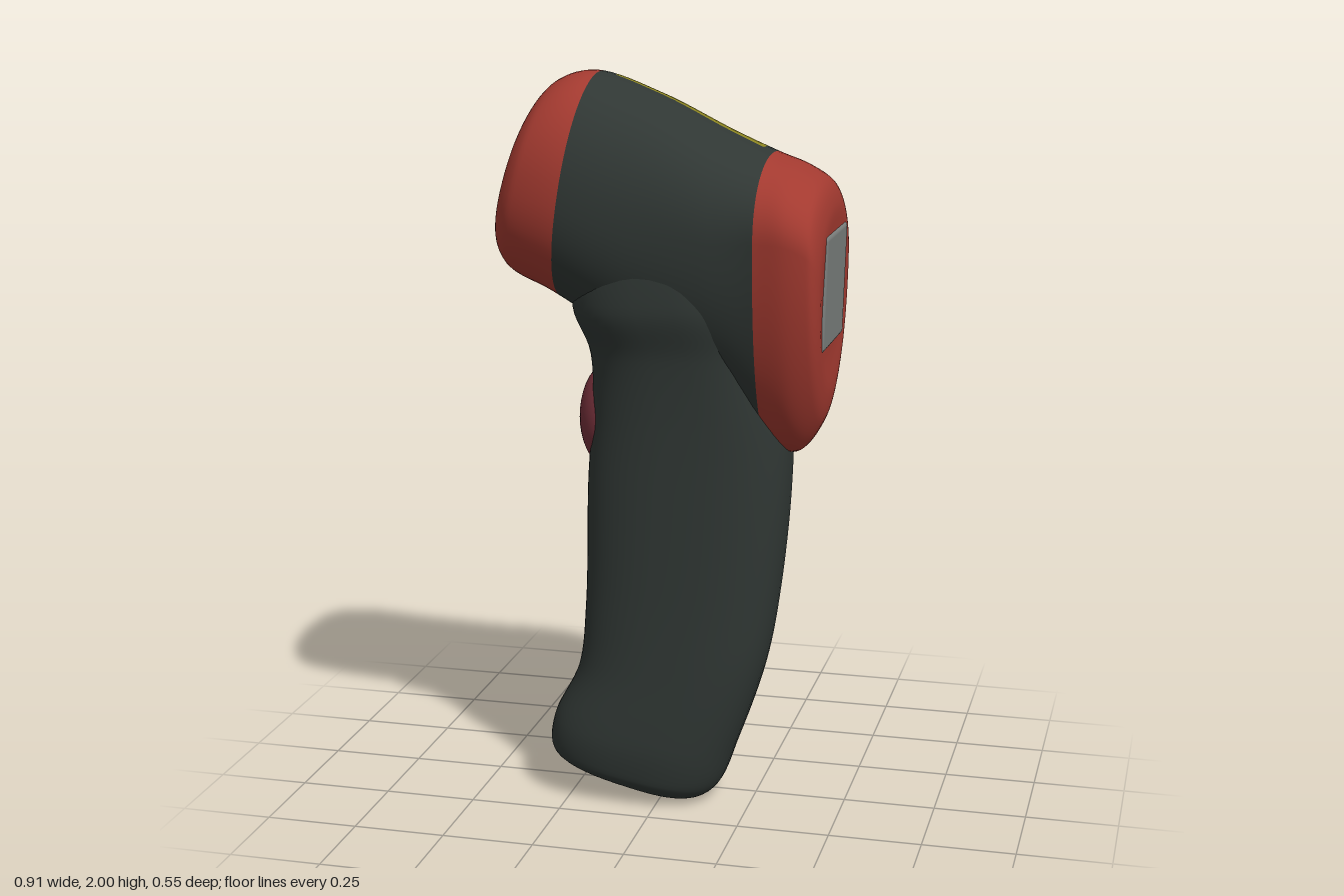
import * as THREE from 'three';
import { RoundedBoxGeometry } from 'three/addons/geometries/RoundedBoxGeometry.js';

const RED = 0xa33a30, DARK = 0x303734, YELLOW = 0x8c8420, GREY = 0x7c807e, MAROON = 0x74303a;
const paint = (color) => new THREE.MeshStandardMaterial({ color });

// Loft of rounded sections. Each section: [ax, ay, bx, by, halfWidth, zCentre, widest]
// a and b are the ends of the section in the xy plane; widest (0..1) is where it is broadest.
// zone(u, v) names the part each patch belongs to; parts share vertices, so seams stay smooth.
function loft(sections, power, rows, cols, zone, colors) {
  const curve = (f) => new THREE.CatmullRomCurve3(sections.map((s) => new THREE.Vector3(...f(s))));
  const endA = curve((s) => [s[0], s[1], 0]);
  const endB = curve((s) => [s[2], s[3], 0]);
  const shape = curve((s) => [s[4], s[5], s[6]]);
  const bend = (t) => Math.sign(t) * Math.pow(Math.abs(t), 2 / power);
  const pos = [], faces = {};
  const last = sections.length - 1;
  for (let i = 0; i <= rows; i++) {
    const t = i / rows;
    const a = endA.getPoint(t), b = endB.getPoint(t), w = shape.getPoint(t);
    for (let j = 0; j < cols; j++) {
      const angle = (j / cols) * Math.PI * 2;
      const s = bend(Math.sin(angle)), c = bend(Math.cos(angle));
      const k = w.z + s * (s > 0 ? 1 - w.z : w.z);
      pos.push(a.x + (b.x - a.x) * k, a.y + (b.y - a.y) * k, w.y + c * w.x);
      if (i === rows) continue;
      const p = i * cols + j, q = i * cols + ((j + 1) % cols);
      const name = zone(((i + 0.5) / rows) * last, (j + 0.5) / cols);
      (faces[name] ??= []).push(p, p + cols, q, q, p + cols, q + cols);
    }
  }
  const whole = new THREE.BufferGeometry();
  whole.setAttribute('position', new THREE.Float32BufferAttribute(pos, 3));
  whole.setIndex(Object.values(faces).flat());
  whole.computeVertexNormals();
  return Object.entries(faces).map(([name, index]) => {
    const part = new THREE.BufferGeometry();
    part.setAttribute('position', whole.getAttribute('position'));
    part.setAttribute('normal', whole.getAttribute('normal'));
    part.setIndex(index);
    const mesh = new THREE.Mesh(part, paint(colors[name]));
    mesh.name = name;
    return mesh;
  });
}

export function createModel() {
  const model = new THREE.Group();
  model.name = 'infraredThermometer';

  // Head: from the dimpled nose to the rear display, sections run bottom to top
  const head = new THREE.Group();
  head.name = 'head';
  head.add(...loft([
    [-0.355, 1.75, -0.355, 1.75, 0, 0.02, 0.5],
    [-0.385, 1.66, -0.365, 1.82, 0.08, 0.02, 0.5],
    [-0.45, 1.55, -0.35, 1.9, 0.17, 0.025, 0.5],
    [-0.42, 1.475, -0.29, 1.975, 0.225, 0.03, 0.5],
    [-0.3, 1.41, -0.2, 2.0, 0.25, 0.022, 0.5],
    [-0.12, 1.3, -0.03, 1.945, 0.248, 0.01, 0.52],
    [0.16, 1.15, 0.16, 1.85, 0.258, -0.005, 0.62],
    [0.28, 1.02, 0.28, 1.795, 0.268, -0.008, 0.74],
    [0.36, 1.0, 0.36, 1.765, 0.272, 0.0, 0.77],
    [0.425, 1.08, 0.425, 1.725, 0.255, 0.01, 0.74],
    [0.444, 1.16, 0.45, 1.67, 0.22, 0.01, 0.66],
    [0.44, 1.28, 0.452, 1.6, 0.15, 0.01, 0.55],
    [0.443, 1.45, 0.443, 1.45, 0, 0.01, 0.5],
  ], 2.15, 96, 64, (u, v) => {
    if (u < 4.1) return 'nose';
    if (u > 7) return 'rearBezel';
    return u > 4.4 && u < 6.7 && v > 0.25 && v < 0.4 ? 'topLabel' : 'headShell';
  }, { nose: RED, headShell: DARK, rearBezel: RED, topLabel: YELLOW }));
  model.add(head);

  // Grip: from the slanted foot up into the head, sections run back to front
  model.add(...loft([
    [-0.06, 0.055, -0.06, 0.055, 0, 0.04, 0.5],
    [0.08, 0.005, -0.25, 0.085, 0.11, 0.04, 0.5],
    [0.15, 0.04, -0.315, 0.13, 0.155, 0.045, 0.5],
    [0.205, 0.17, -0.31, 0.22, 0.17, 0.045, 0.5],
    [0.28, 0.4, -0.24, 0.37, 0.168, 0.04, 0.5],
    [0.315, 0.6, -0.22, 0.55, 0.168, 0.035, 0.5],
    [0.342, 0.9, -0.212, 0.9, 0.172, 0.03, 0.5],
    [0.34, 1.1, -0.2, 1.1, 0.182, 0.022, 0.5],
    [0.31, 1.28, -0.205, 1.26, 0.205, 0.01, 0.5],
    [0.28, 1.42, -0.25, 1.39, 0.235, 0.01, 0.5],
    [0.2, 1.6, -0.2, 1.55, 0.22, 0.01, 0.5],
    [0, 1.66, 0, 1.66, 0, 0.01, 0.5],
  ], 2.6, 80, 56, () => 'grip', { grip: DARK }));

  // Trigger on the front of the grip
  const trigger = new THREE.Mesh(new THREE.SphereGeometry(1, 32, 20), paint(MAROON));
  trigger.name = 'trigger';
  trigger.scale.set(0.085, 0.15, 0.11);
  trigger.position.set(-0.157, 1.07, 0.02);
  model.add(trigger);

  // Display set into the rear bezel
  const display = new THREE.Mesh(new RoundedBoxGeometry(0.04, 0.31, 0.3, 4, 0.015), paint(GREY));
  display.name = 'display';
  display.position.set(0.433, 1.45, 0.012);
  display.rotation.z = -0.03;
  model.add(display);

  return model;
}
